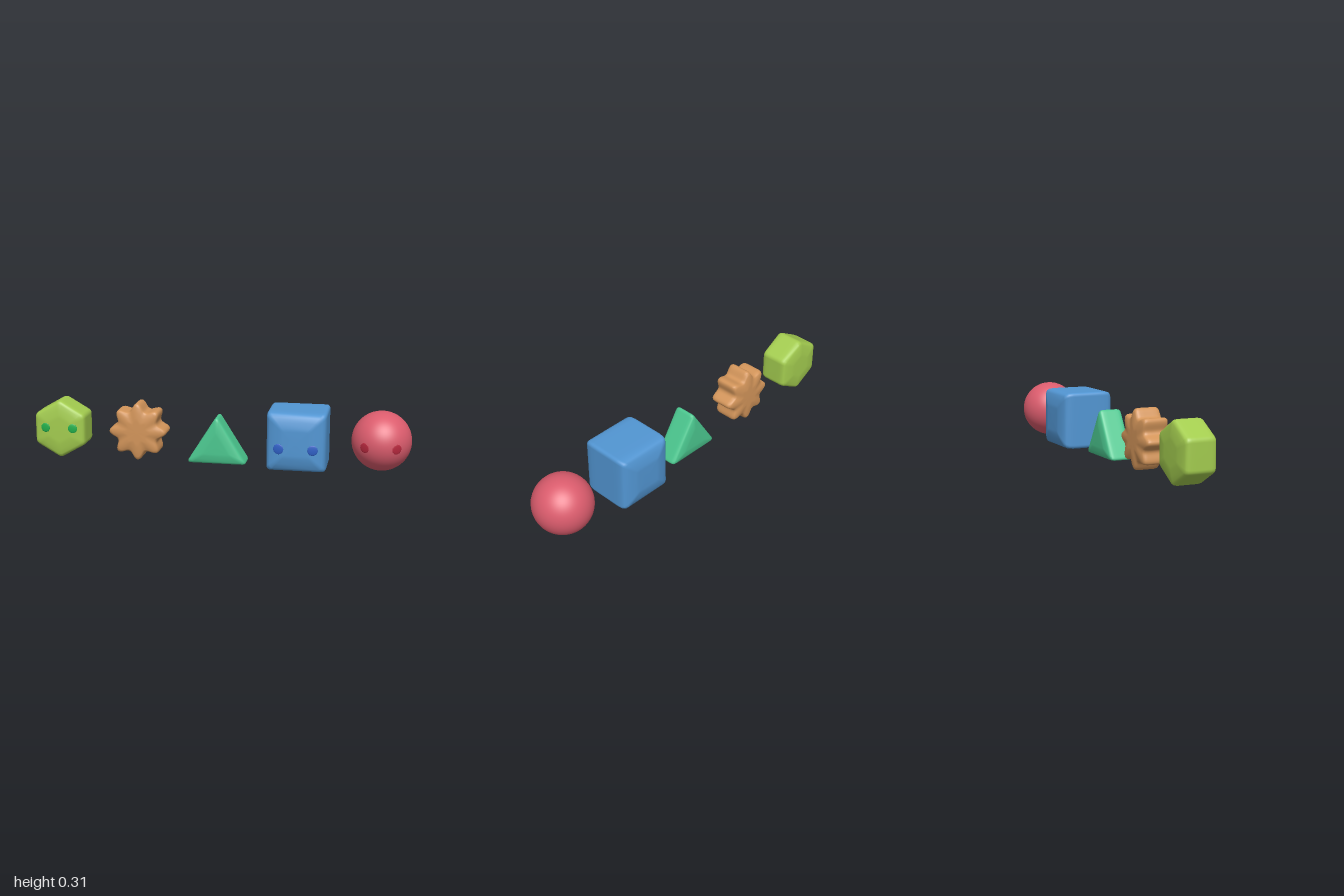
import * as THREE from 'three';

// Pillow profile: [outline scale, fraction of half depth], rim to face centre
const PROFILE = [[1, 0.3], [1, 0.56], [0.985, 0.74], [0.945, 0.84], [0.87, 0.9],
  [0.7, 0.95], [0.52, 0.992], [0.4, 1], [0, 1]];

const mat = (name, color) => {
  const m = new THREE.MeshStandardMaterial({ color });
  m.name = name;
  return m;
};

// Closed outline with each corner cut back by d and rounded
function roundedPolygon(corners, d) {
  const out = [];
  const n = corners.length;
  corners.forEach(([x, y], i) => {
    const p = new THREE.Vector2(x, y);
    const toward = (k) => new THREE.Vector2(...corners[(i + k) % n]).sub(p).setLength(d).add(p);
    out.push(...new THREE.QuadraticBezierCurve(toward(n - 1), p, toward(1)).getPoints(6));
  });
  return out;
}

// Radial outline, counter-clockwise
function radial(count, radius) {
  return Array.from({ length: count }, (_, i) => {
    const a = Math.PI / 2 + (i / count) * Math.PI * 2;
    const r = radius(a);
    return [r * Math.cos(a), r * Math.sin(a)];
  });
}

// Loft scaled copies of the outline from the back centre to the front centre
function pillow(outline, halfDepth) {
  const rings = [
    ...PROFILE.slice().reverse().map(([s, z]) => [s, -z * halfDepth]),
    ...PROFILE.map(([s, z]) => [s, z * halfDepth]),
  ];
  const n = outline.length;
  const pos = [];
  const index = [];
  rings.forEach(([s, z], i) => {
    outline.forEach((p, j) => {
      pos.push(p.x * s, p.y * s, z);
      if (i === rings.length - 1) return;
      const a = i * n + j;
      const b = i * n + (j + 1) % n;
      index.push(a, b, a + n, b, b + n, a + n);
    });
  });
  const g = new THREE.BufferGeometry();
  g.setAttribute('position', new THREE.Float32BufferAttribute(pos, 3));
  g.setIndex(index);
  g.computeVertexNormals();
  return g;
}

export function createModel() {
  const root = new THREE.Group();
  root.name = 'shapeToys';

  const addShape = (name, geometry, material, x, y) => {
    const group = new THREE.Group();
    group.name = name;
    group.position.set(x, y, 0);
    const body = new THREE.Mesh(geometry, material);
    body.name = name + 'Body';
    group.add(body);
    root.add(group);
    return group;
  };

  // Pair of thin oval eyes lying on the surface
  const addEyes = (group, material, x, y, z, r, yaw, pitch) => {
    for (const side of [-1, 1]) {
      const eye = new THREE.Mesh(new THREE.SphereGeometry(r, 24, 12), material);
      eye.name = side > 0 ? 'leftEye' : 'rightEye';
      eye.scale.z = 0.004 / r;
      eye.position.set(side * x, y, z);
      eye.rotation.set(pitch, side * yaw, 0, 'YXZ');
      group.add(eye);
    }
  };

  // Hexagon
  const hexOutline = roundedPolygon(radial(6, () => 0.159), 0.018);
  const hexagon = addShape('hexagon', pillow(hexOutline, 0.09), mat('lime', 0xa3cc4f), -0.863, 0.155);
  addEyes(hexagon, mat('leafGreen', 0x22b04c), 0.075, 0.01, 0.0885, 0.025, 0.1, 0);

  // Eight-pointed star
  const starOutline = radial(128, (a) => 0.117 + 0.038 * Math.pow((1 + Math.cos(8 * a)) / 2, 1.25))
    .map(([x, y]) => new THREE.Vector2(x, y));
  addShape('star', pillow(starOutline, 0.076), mat('orange', 0xd3955a), -0.44, 0.155);

  // Triangle
  const triOutline = roundedPolygon([[0, 0.166], [-0.163, -0.093], [0.163, -0.093]], 0.025);
  addShape('triangle', pillow(triOutline, 0.07), mat('seaGreen', 0x4bc78f), -0.013, 0.093);

  // Cube
  const h = 0.155;
  const cubeOutline = roundedPolygon([[h, h], [-h, h], [-h, -h], [h, -h]], 0.022);
  const cube = addShape('cube', pillow(cubeOutline, h), mat('blue', 0x5296d3), 0.415, h);
  addEyes(cube, mat('deepBlue', 0x2f60c6), 0.088, -0.03, 0.153, 0.027, 0.12, 0);

  // Ball
  const ball = addShape('ball', new THREE.SphereGeometry(0.155, 64, 40), mat('red', 0xdb5c6d), 0.845, h);
  addEyes(ball, mat('crimson', 0xb9293f), 0.081, -0.008, 0.132, 0.026, 0.55, 0.05);

  return root;
}
